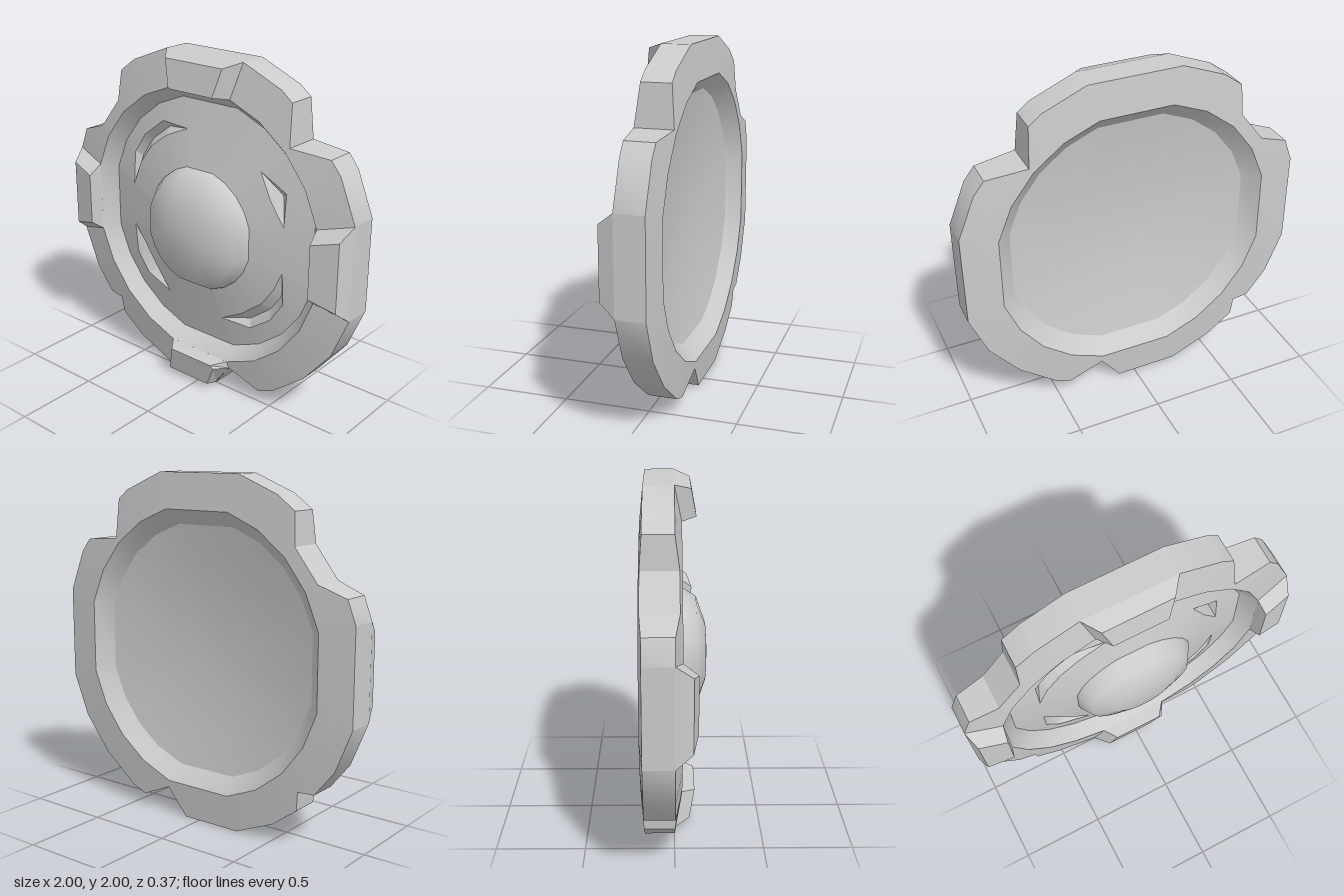
import * as THREE from 'three';
import { mergeGeometries, toCreasedNormals } from 'three/addons/utils/BufferGeometryUtils.js';

const material = new THREE.MeshStandardMaterial({ color: 0xcccccc });

// Ring of points every 15 degrees, skipping the four cardinal directions
function ring(r, z) {
  const pts = [];
  for (let i = 0; i < 24; i++) {
    if (i % 6 === 0) continue;
    const a = i * Math.PI / 12;
    pts.push([r * Math.cos(a), r * Math.sin(a), z]);
  }
  return pts;
}

// Closed band of quads between two counter-clockwise loops
function loft(a, b) {
  const pos = [];
  const same = (p, q) => p.every((v, k) => Math.abs(v - q[k]) < 1e-6);
  const tri = (p, q, r) => {
    if (!same(p, q) && !same(q, r) && !same(p, r)) pos.push(...p, ...q, ...r);
  };
  a.forEach((p, i) => {
    const j = (i + 1) % a.length;
    tri(p, a[j], b[j]);
    tri(p, b[j], b[i]);
  });
  const g = new THREE.BufferGeometry();
  g.setAttribute('position', new THREE.Float32BufferAttribute(pos, 3));
  return g;
}

// Point where a ray from the centre crosses a star-shaped counter-clockwise loop
function pointAt(loop, angle) {
  const c = Math.cos(angle), s = Math.sin(angle);
  for (let i = 0; i < loop.length; i++) {
    const p = loop[i], q = loop[(i + 1) % loop.length];
    const cp = c * p[1] - s * p[0], cq = c * q[1] - s * q[0];
    if (cp > 1e-9 || cq < -1e-9 || c * (p[0] + q[0]) + s * (p[1] + q[1]) < 0) continue;
    const t = cp / (cp - cq);
    return [p[0] + t * (q[0] - p[0]), p[1] + t * (q[1] - p[1])];
  }
}

// Resamples loops so that all share the corner directions of every one
function align(...loops) {
  const angles = loops.flat().map(([x, y]) => Math.atan2(y, x)).sort((a, b) => a - b)
    .filter((a, i, all) => i === 0 || a - all[i - 1] > 1e-4);
  return loops.map((loop) => angles.map((a) => pointAt(loop, a)));
}

function part(name, geometries, crease = 0.45) {
  const mesh = new THREE.Mesh(toCreasedNormals(mergeGeometries(geometries), crease), material);
  mesh.name = name;
  return mesh;
}

const withZ = (loop, zAt) => loop.map(([x, y]) => [x, y, zAt(x, y)]);

// Battered outer edge of the rim, clockwise from the top, relative to the centre
const OUTLINE = [
  [-0.27, 1], [0.27, 1], [0.52, 0.895], [0.59, 0.84], [0.605, 0.61], [0.84, 0.59],
  [0.9, 0.515], [1, 0.27], [1, -0.27], [0.9, -0.515], [0.73, -0.725], [0.515, -0.895],
  [0.42, -0.93], [0.22, -0.84], [0.1, -1], [-0.27, -1], [-0.515, -0.895], [-0.67, -0.78],
  [-0.68, -0.67], [-0.78, -0.665], [-0.9, -0.515], [-1, -0.27], [-1, 0.27], [-0.95, 0.4],
  [-0.78, 0.46], [-0.64, 0.64], [-0.63, 0.82], [-0.52, 0.9],
].reverse();

// Gouges in the panel: outer edge counter-clockwise, and inner edge between the same ends
const GOUGES = [
  { outer: [[0.555, 0.14], [0.555, 0.33], [0.39, 0.425]], inner: [[0.47, 0.27]] },
  {
    outer: [[-0.13, 0.56], [-0.33, 0.565], [-0.475, 0.455], [-0.56, 0.33], [-0.56, 0.13]],
    inner: [[-0.29, 0.49], [-0.41, 0.4], [-0.5, 0.28]],
  },
  {
    outer: [[-0.56, -0.13], [-0.555, -0.325], [-0.475, -0.44], [-0.28, -0.505]],
    inner: [[-0.46, -0.24], [-0.37, -0.37]],
  },
  {
    outer: [[0.13, -0.55], [0.33, -0.555], [0.47, -0.455], [0.555, -0.33], [0.555, -0.13]],
    inner: [[0.28, -0.47], [0.42, -0.36], [0.5, -0.25]],
  },
];

// Notched rim, slightly thicker towards its inner edge
function makeRim() {
  const slope = (x, y) => THREE.MathUtils.clamp((1.035 - Math.hypot(x, y)) / 0.21, 0, 1);
  const front = (x, y) => 0.04 * slope(x, y);
  const back = (x, y) => -0.165 - 0.02 * slope(x, y);
  const [outer, inner] = align(OUTLINE, ring(0.825, 0));
  const outerFront = withZ(outer, front), outerBack = withZ(outer, back);
  return part('rim', [
    loft(outerFront, withZ(inner, () => 0.04)),
    loft(withZ(inner, () => -0.185), outerBack),
    loft(outerBack, outerFront),
    loft(ring(0.825, 0.04), ring(0.755, -0.05)),
    loft(ring(0.735, -0.1), ring(0.825, -0.185)),
  ]);
}

// Coned front panel with V-shaped gouges; the gouge edges meet between the gouges
function makePanel() {
  const zAt = (x, y) => -0.05 + 0.085 * (0.755 - Math.hypot(x, y)) / 0.395;
  const gougeOuter = GOUGES.flatMap((g) => g.outer);
  const gougeInner = GOUGES.flatMap((g) => [g.outer[0], ...g.inner, g.outer.at(-1)]);
  const [rim, outer, inner, hub] = align(ring(0.755, 0), gougeOuter, gougeInner, ring(0.36, 0))
    .map((loop) => withZ(loop, zAt));
  const valley = outer.map(([x, y], i) => {
    const [u, v] = inner[i];
    const depth = 0.045 * Math.min(1, Math.hypot(x - u, y - v) / 0.07);
    return [(x + u) / 2, (y + v) / 2, zAt((x + u) / 2, (y + v) / 2) - depth];
  });
  return [
    part('panel', [loft(rim, outer), loft(inner, hub)]),
    part('gouges', [loft(outer, valley), loft(valley, inner)], 0.4),
  ];
}

// Concave inside of the panel, seen from behind
function makeBackPanel() {
  const rings = [[0.735, -0.1], [0.5, -0.062], [0.25, -0.038], [0, -0.03]].map(([r, z]) => ring(r, z));
  return part('backPanel', rings.slice(1).map((r, i) => loft(r, rings[i])));
}

function makeBoss() {
  const rings = [[0.367, 0.03], [0.363, 0.05], [0.315, 0.125], [0.165, 0.178], [0, 0.188]]
    .map(([r, z]) => ring(r, z));
  return part('boss', rings.slice(1).map((r, i) => loft(rings[i], r)), 0.8);
}

// Tapered block on the front of the rim
function makeBlock(name, base, top) {
  const foot = withZ(base, (x, y) => 0.04 * (1 - Math.abs(y)) / 0.203);
  const head = withZ(top, (x, y) => 0.09 + 0.03 * (0.97 - Math.abs(y)) / 0.16);
  const middle = [0, 1, 2].map((k) => head.reduce((sum, p) => sum + p[k], 0) / head.length);
  return part(name, [loft(foot, head), loft(head, head.map(() => middle))], 0.2);
}

export function createModel() {
  const group = new THREE.Group();
  group.name = 'shield';
  const body = new THREE.Group();
  body.name = 'body';
  body.position.y = 1;
  group.add(body);

  body.add(makeRim(), ...makePanel(), makeBackPanel(), makeBoss());

  // Three whole blocks, and a chipped one at the bottom
  const base = [[0.27, 1], [-0.27, 1], [-0.213, 0.797], [0.213, 0.797]];
  const top = [[0.2, 0.97], [-0.2, 0.97], [-0.155, 0.812], [0.155, 0.812]];
  [['topBlock', 0], ['rightBlock', 1], ['leftBlock', -1]].forEach(([name, turn]) => {
    const block = makeBlock(name, base, top);
    block.rotation.z = turn * Math.PI / 2;
    body.add(block);
  });
  body.add(makeBlock('chippedBlock',
    [[-0.27, -1], [0.1, -1], [0.22, -0.84], [0.21, -0.797], [-0.213, -0.797]],
    [[-0.2, -0.97], [0.1, -0.97], [0.17, -0.83], [0.15, -0.812], [-0.155, -0.812]]));
  return group;
}
